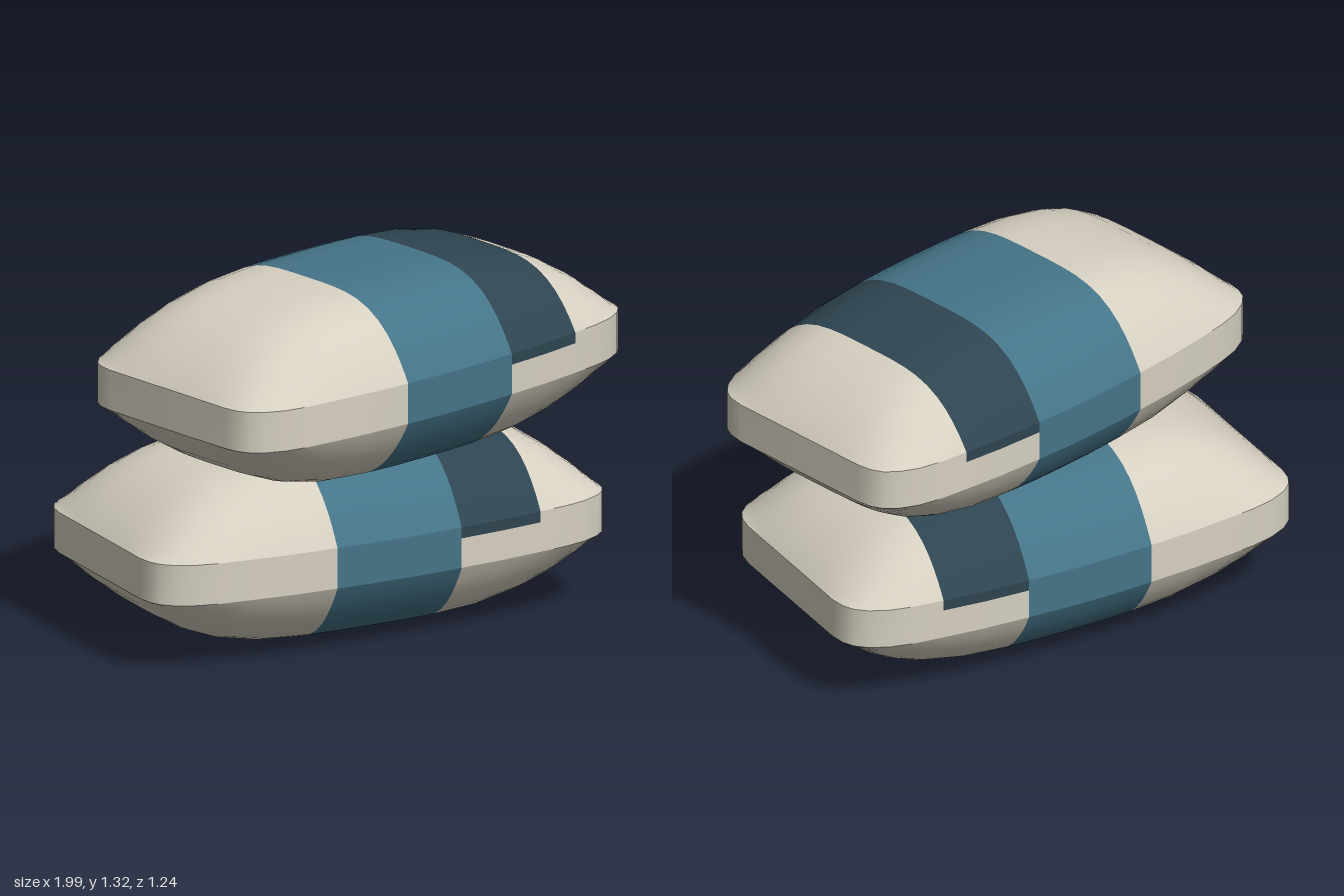
import * as THREE from 'three';

// Quarter outline of a cushion seen from above: [x, half depth]
const QUARTER = [
  [0, 0.545], [0.13, 0.543], [0.253, 0.537], [0.43, 0.526], [0.59, 0.508], [0.7, 0.494],
  [0.79, 0.472], [0.86, 0.437], [0.9, 0.4], [0.92, 0.36], [0.93, 0.3],
];
const LENGTH = 0.93, RIM = 0.076, DOME = 0.276, POWER = 3.8;
const STRIPE = 0.253, PATCH = 0.59, PATCH_LOW = 0.035;
const CREAM = 0, BLUE = 1, DARK = 2;

// Stations along x, from the right end to the left end
const STATIONS = [...QUARTER.slice(1).reverse().map(([x, d]) => [-x, d]), ...QUARTER];

// Colour of a face by its position along the cushion
function colourAt(x, isUpper) {
  if (Math.abs(x) < STRIPE) return BLUE;
  return isUpper && x > STRIPE && x < PATCH ? DARK : CREAM;
}

// Smooth grid surface with one material group per colour
function gridSurface(cols, rows, point, colour, flip) {
  const positions = [];
  const faces = [[], [], []];
  for (let i = 0; i < cols; i++) for (let j = 0; j < rows; j++) positions.push(...point(i, j));
  for (let i = 0; i < cols - 1; i++) {
    for (let j = 0; j < rows - 1; j++) {
      const a = i * rows + j, b = a + 1, c = a + rows, d = c + 1;
      faces[colour(i, j)].push(...(flip ? [a, c, b, b, c, d] : [a, b, c, b, d, c]));
    }
  }
  const geometry = new THREE.BufferGeometry();
  geometry.setAttribute('position', new THREE.Float32BufferAttribute(positions, 3));
  geometry.setIndex(faces.flat());
  let start = 0;
  faces.forEach((list, material) => {
    if (list.length) geometry.addGroup(start, list.length, material);
    start += list.length;
  });
  geometry.computeVertexNormals();
  return geometry;
}

// Domed upper (side = 1) or lower (side = -1) face
function domeGeometry(side) {
  const rows = 25;
  const point = (i, j) => {
    const [x, depth] = STATIONS[i];
    const v = Math.sin((j / (rows - 1) - 0.5) * Math.PI);
    const fall = (1 - Math.abs(x / LENGTH) ** POWER) * (1 - Math.abs(v) ** POWER);
    return [x, side * (RIM + DOME * fall), v * depth];
  };
  const colour = (i) => colourAt((STATIONS[i][0] + STATIONS[i + 1][0]) / 2, side > 0);
  return gridSurface(STATIONS.length, rows, point, colour, side < 0);
}

// Upright band running round the cushion
function rimGeometry() {
  const loop = [
    [LENGTH, 0],
    ...[...STATIONS].reverse(),
    [-LENGTH, 0],
    ...STATIONS.map(([x, d]) => [x, -d]),
    [LENGTH, 0],
  ];
  const heights = [-RIM, PATCH_LOW, RIM];
  const point = (i, j) => [loop[i][0], heights[j], loop[i][1]];
  const colour = (i, j) => colourAt((loop[i][0] + loop[i + 1][0]) / 2, j === 1);
  return gridSurface(loop.length, heights.length, point, colour, false);
}

export function createModel() {
  const flat = (name, color) => {
    const material = new THREE.MeshStandardMaterial({ color });
    material.name = name;
    return material;
  };
  const materials = [
    flat('cream cloth', 0xd6d0c1),
    flat('blue cloth', 0x457488),
    flat('dark blue cloth', 0x2e4551),
  ];
  const parts = [
    ['upperFace', domeGeometry(1)],
    ['lowerFace', domeGeometry(-1)],
    ['rimBand', rimGeometry()],
  ];

  const model = new THREE.Group();
  model.name = 'stackedCushions';

  // Two equal cushions, each turned a little
  const cushions = [
    ['bottomCushion', -0.042, 0.353, -0.055, -0.1],
    ['topCushion', 0.03, 0.974, 0.03, 0.15],
  ];
  for (const [name, x, y, z, turn] of cushions) {
    const cushion = new THREE.Group();
    cushion.name = name;
    for (const [partName, geometry] of parts) {
      const mesh = new THREE.Mesh(geometry, materials);
      mesh.name = partName;
      cushion.add(mesh);
    }
    cushion.position.set(x, y, z);
    cushion.rotation.y = turn;
    model.add(cushion);
  }
  return model;
}
